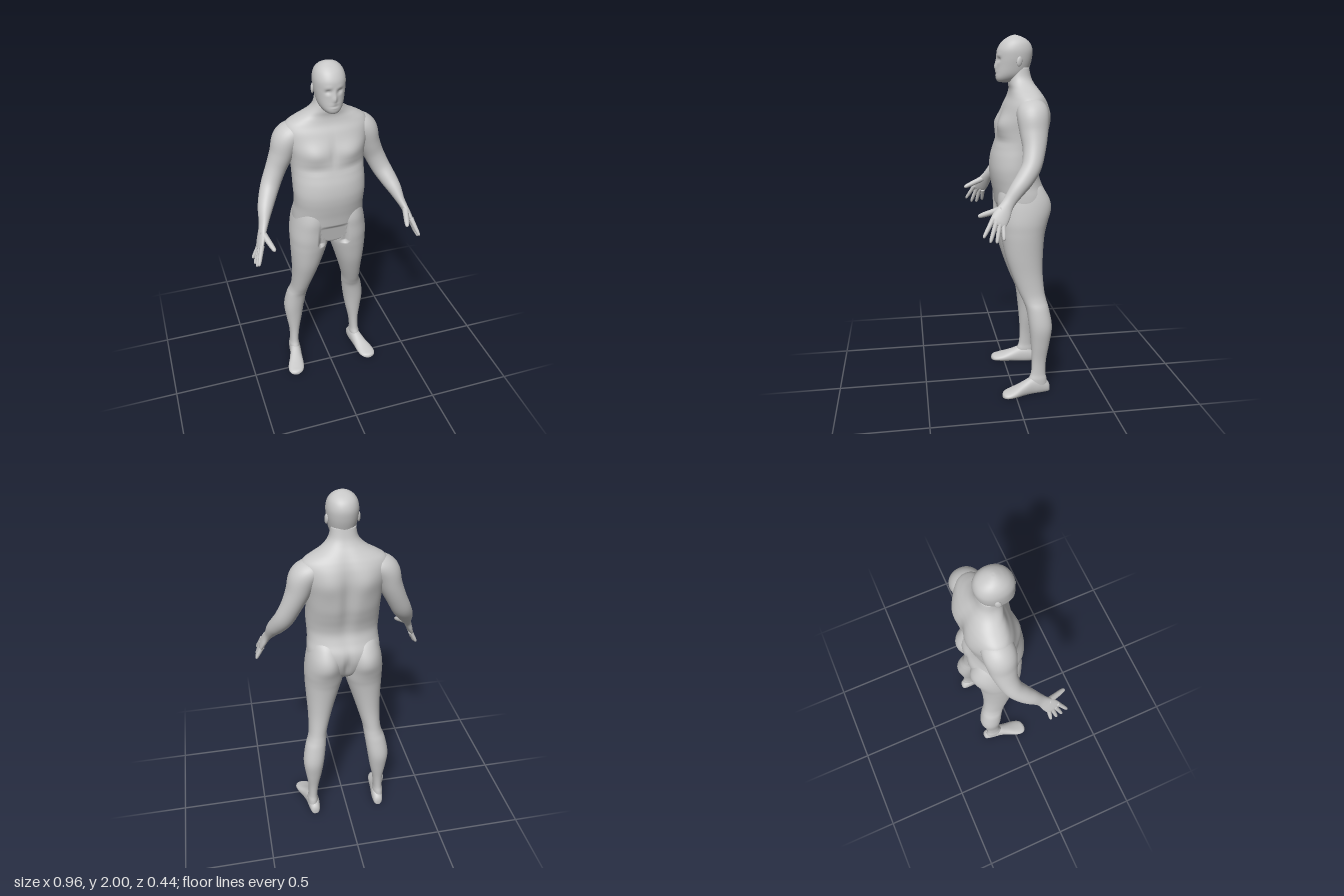
import * as THREE from 'three';

const skin = new THREE.MeshStandardMaterial({ color: 0xc8c8c8 });
skin.name = 'plainGrey';

// Smoothly resample rows of numbers with a Catmull-Rom rule
function resample(rows, steps) {
  const out = [];
  const at = (i) => rows[Math.min(Math.max(i, 0), rows.length - 1)];
  for (let i = 0; i < rows.length - 1; i++) {
    for (let s = 0; s < steps; s++) {
      const t = s / steps;
      out.push(rows[i].map((b, k) => {
        const a = at(i - 1)[k], c = at(i + 1)[k], d = at(i + 2)[k];
        return b + 0.5 * t * (c - a + t * (2 * a - 5 * b + 4 * c - d + t * (3 * (b - c) + d - a)));
      }));
    }
  }
  out.push(rows[rows.length - 1]);
  return out;
}

// Skin a list of rings {c, u, v}; u x v points along the loft
function loft(rings, sides, power = 2, rule = null) {
  const pos = [], index = [];
  const e = 2 / power;
  const bend = (n) => Math.sign(n) * Math.pow(Math.abs(n), e);
  for (const { c, u, v } of rings) {
    for (let j = 0; j < sides; j++) {
      const a = (j / sides) * Math.PI * 2;
      const p = c.clone().addScaledVector(u, bend(Math.cos(a))).addScaledVector(v, bend(Math.sin(a)));
      if (rule) rule(p);
      pos.push(p.x, p.y, p.z);
    }
  }
  for (let i = 0; i < rings.length - 1; i++) {
    for (let j = 0; j < sides; j++) {
      const k = (j + 1) % sides;
      const a = i * sides + j, b = i * sides + k, c = b + sides, d = a + sides;
      index.push(a, b, c, a, c, d);
    }
  }
  const first = pos.length / 3, last = (rings.length - 1) * sides;
  for (const r of [rings[0], rings[rings.length - 1]]) {
    const p = r.c.clone();
    if (rule) rule(p);
    pos.push(p.x, p.y, p.z);
  }
  for (let j = 0; j < sides; j++) {
    const k = (j + 1) % sides;
    index.push(first, k, j, first + 1, last + j, last + k);
  }
  const g = new THREE.BufferGeometry();
  g.setAttribute('position', new THREE.Float32BufferAttribute(pos, 3));
  g.setIndex(index);
  g.computeVertexNormals();
  return g;
}

const V = (x, y, z) => new THREE.Vector3(x, y, z);

// Upright loft from bottom to top, rows: [y, centre x, half width, front z, back z]
const upright = (rows, sides, power, rule) => loft(resample(rows, 5).map(
  ([y, x, w, f, b]) => ({ c: V(x, y, (f + b) / 2), u: V(w, 0, 0), v: V(0, 0, -(f - b) / 2) })), sides, power, rule);

// Limb along a path, rows: [x, y, z, sideways radius, fore-aft radius]
function limb(rows, sides, steps) {
  const r = resample(rows, steps);
  const pt = (i) => V(...r[Math.min(Math.max(i, 0), r.length - 1)].slice(0, 3));
  return loft(r.map((q, i) => {
    const d = pt(i + 1).sub(pt(i - 1)).normalize();
    const u = V(0, 0, 1).cross(d).normalize();
    const v = d.clone().cross(u);
    return { c: pt(i), u: u.multiplyScalar(q[3]), v: v.multiplyScalar(q[4]) };
  }), sides);
}

// Soft bumps, rows: [x, y, facing, spread x, spread y, amount]
const sculpt = (bumps, midZ) => (p) => {
  const z0 = p.z;
  for (const [x, y, facing, sx, sy, amount] of bumps) {
    const w = Math.min(Math.max((z0 - midZ) * facing / 0.05, 0), 1);
    const dx = (Math.abs(p.x) - x) / sx, dy = (p.y - y) / sy;
    p.z += facing * amount * w * Math.exp(-dx * dx - dy * dy);
  }
};

// Shallow flat recess at the front of the hips
function hipRecess(p) {
  if (p.z > 0 && Math.abs(p.x) < 0.083 && p.y < 1.09 && p.y > 0.95)
    p.z = Math.min(p.z, 0.07 - (1.09 - p.y) * 0.22);
}

function mirrored(g) {
  const m = g.clone().scale(-1, 1, 1);
  const a = m.index.array;
  for (let i = 0; i < a.length; i += 3) [a[i], a[i + 1]] = [a[i + 1], a[i]];
  m.computeVertexNormals();
  return m;
}

export function createModel() {
  const model = new THREE.Group();
  model.name = 'standingFigure';
  const add = (name, g) => {
    const m = new THREE.Mesh(g, skin);
    m.name = name;
    model.add(m);
  };
  const addPair = (name, g) => {
    add('left' + name, g);
    add('right' + name, mirrored(g));
  };

  // Torso and neck
  const torsoShape = sculpt([
    [0.1, 1.53, 1, 0.08, 0.05, 0.022],     // chest
    [0.1, 1.445, 1, 0.09, 0.015, -0.006],  // crease under chest
    [0, 1.53, 1, 0.015, 0.07, -0.005],     // breastbone
    [0, 1.45, -1, 0.035, 0.2, -0.02],      // spine
    [0.1, 1.57, -1, 0.06, 0.08, 0.012],    // shoulder blades
    [0, 1.06, -1, 0.016, 0.07, -0.02]      // cleft
  ], -0.06);
  add('torso', upright([
    [0.945, 0, 0.03, -0.01, -0.1], [0.965, 0, 0.08, 0.035, -0.135], [1.0, 0, 0.15, 0.062, -0.165],
    [1.05, 0, 0.19, 0.074, -0.19], [1.1, 0, 0.202, 0.082, -0.203], [1.15, 0, 0.201, 0.09, -0.2],
    [1.2, 0, 0.196, 0.1, -0.178], [1.25, 0, 0.197, 0.108, -0.163], [1.3, 0, 0.2, 0.11, -0.168],
    [1.36, 0, 0.2, 0.102, -0.185], [1.42, 0, 0.2, 0.084, -0.2], [1.5, 0, 0.207, 0.065, -0.208],
    [1.57, 0, 0.222, 0.05, -0.21], [1.63, 0, 0.23, 0.03, -0.2], [1.67, 0, 0.215, 0.01, -0.185],
    [1.697, 0, 0.175, 0.002, -0.17], [1.72, 0, 0.13, 0, -0.155], [1.747, 0, 0.094, 0.004, -0.136],
    [1.78, 0, 0.073, 0.003, -0.12], [1.83, 0, 0.064, -0.01, -0.108]
  ], 96, 2.25, (p) => { torsoShape(p); hipRecess(p); }));

  // Head with nose, eye sockets, brow and lips
  add('head', upright([
    [1.752, 0, 0.02, 0.05, -0.01], [1.758, 0, 0.036, 0.065, -0.04], [1.775, 0, 0.053, 0.073, -0.075],
    [1.8, 0, 0.066, 0.072, -0.098], [1.84, 0, 0.075, 0.069, -0.114], [1.88, 0, 0.081, 0.068, -0.124],
    [1.92, 0, 0.082, 0.066, -0.127], [1.955, 0, 0.073, 0.048, -0.115], [1.978, 0, 0.056, 0.024, -0.092],
    [1.992, 0, 0.035, 0.0, -0.064], [1.999, 0, 0.014, -0.018, -0.042], [2.0, 0, 0.002, -0.028, -0.032]
  ], 72, 2.15, sculpt([
    [0, 1.835, 1, 0.011, 0.02, 0.013], [0, 1.865, 1, 0.008, 0.02, 0.005], [0.03, 1.872, 1, 0.014, 0.01, -0.011],
    [0.03, 1.893, 1, 0.02, 0.009, 0.003], [0, 1.805, 1, 0.02, 0.005, 0.004], [0, 1.798, 1, 0.02, 0.003, -0.004],
    [0, 1.79, 1, 0.018, 0.005, 0.003]
  ], 0)));

  // Ears
  const ear = new THREE.SphereGeometry(1, 16, 12).scale(0.008, 0.027, 0.016);
  ear.rotateX(-0.15).rotateY(0.3).translate(0.082, 1.862, -0.043);
  addPair('Ear', ear);

  // Legs and buttocks
  const legShape = sculpt([[0.1, 1.07, -1, 0.07, 0.06, 0.01]], -0.06);
  addPair('Leg', upright([
    [0.03, 0.208, 0.03, -0.08, -0.19], [0.08, 0.207, 0.031, -0.082, -0.186], [0.12, 0.205, 0.027, -0.096, -0.179],
    [0.2, 0.201, 0.031, -0.1, -0.184], [0.3, 0.198, 0.048, -0.094, -0.202], [0.4, 0.195, 0.061, -0.084, -0.215],
    [0.5, 0.18, 0.06, -0.07, -0.199], [0.55, 0.168, 0.054, -0.052, -0.186], [0.6, 0.16, 0.053, -0.03, -0.176],
    [0.7, 0.145, 0.066, 0.008, -0.168], [0.8, 0.132, 0.083, 0.04, -0.17], [0.9, 0.119, 0.101, 0.06, -0.178],
    [0.95, 0.113, 0.108, 0.068, -0.187], [1.0, 0.112, 0.109, 0.074, -0.198], [1.06, 0.109, 0.105, 0.077, -0.209],
    [1.12, 0.105, 0.097, 0.08, -0.205], [1.18, 0.1, 0.085, 0.07, -0.175], [1.22, 0.1, 0.07, 0.05, -0.13]
  ], 64, 2.1, (p) => { legShape(p); hipRecess(p); }));

  // Feet, rows: [z, centre x, half width, top y]
  addPair('Foot', loft(resample([
    [-0.206, 0.2, 0.01, 0.03], [-0.195, 0.2, 0.026, 0.055], [-0.15, 0.203, 0.035, 0.09], [-0.1, 0.209, 0.036, 0.092],
    [-0.05, 0.22, 0.041, 0.07], [0, 0.233, 0.05, 0.048], [0.04, 0.241, 0.049, 0.034],
    [0.065, 0.244, 0.036, 0.026], [0.076, 0.246, 0.012, 0.016]
  ], 4).map(([z, x, w, top]) => ({ c: V(x, top * 0.42, z), u: V(w, 0, 0), v: V(0, top * 0.58, 0) })),
  32, 2.2, (p) => { p.y = Math.max(p.y, 0); }));

  // Arms from inside the chest down to the palm
  addPair('Arm', limb([
    [0.11, 1.635, -0.095, 0.03, 0.05], [0.165, 1.622, -0.094, 0.06, 0.078], [0.213, 1.583, -0.092, 0.075, 0.084],
    [0.245, 1.5, -0.092, 0.064, 0.074], [0.28, 1.42, -0.087, 0.056, 0.06], [0.318, 1.34, -0.066, 0.053, 0.052],
    [0.35, 1.28, -0.025, 0.047, 0.048], [0.373, 1.235, 0.015, 0.039, 0.042], [0.392, 1.185, 0.055, 0.026, 0.034],
    [0.405, 1.155, 0.077, 0.021, 0.034], [0.42, 1.12, 0.1, 0.018, 0.043], [0.434, 1.085, 0.121, 0.015, 0.045],
    [0.441, 1.068, 0.13, 0.01, 0.039]
  ], 40, 5));

  // Fingers and thumb: [base], [tip]
  const fingers = {
    IndexFinger: [[0.428, 1.1, 0.148], [0.462, 1.01, 0.203]],
    MiddleFinger: [[0.435, 1.085, 0.133], [0.468, 0.985, 0.17]],
    RingFinger: [[0.437, 1.075, 0.116], [0.472, 0.982, 0.137]],
    LittleFinger: [[0.436, 1.07, 0.098], [0.475, 0.995, 0.1]],
    Thumb: [[0.41, 1.145, 0.1], [0.374, 1.1, 0.22]]
  };
  for (const [name, [a, b]] of Object.entries(fingers)) {
    const k = name === 'Thumb' ? 1.35 : 1;
    addPair(name, limb([[0, 0.014], [0.35, 0.012], [0.7, 0.0105], [0.92, 0.008], [0.985, 0.004], [1, 0.0005]].map(
      ([t, r]) => [...a.map((n, i) => n + (b[i] - n) * t), r * k, r * k]), 14, 3));
  }
  return model;
}
